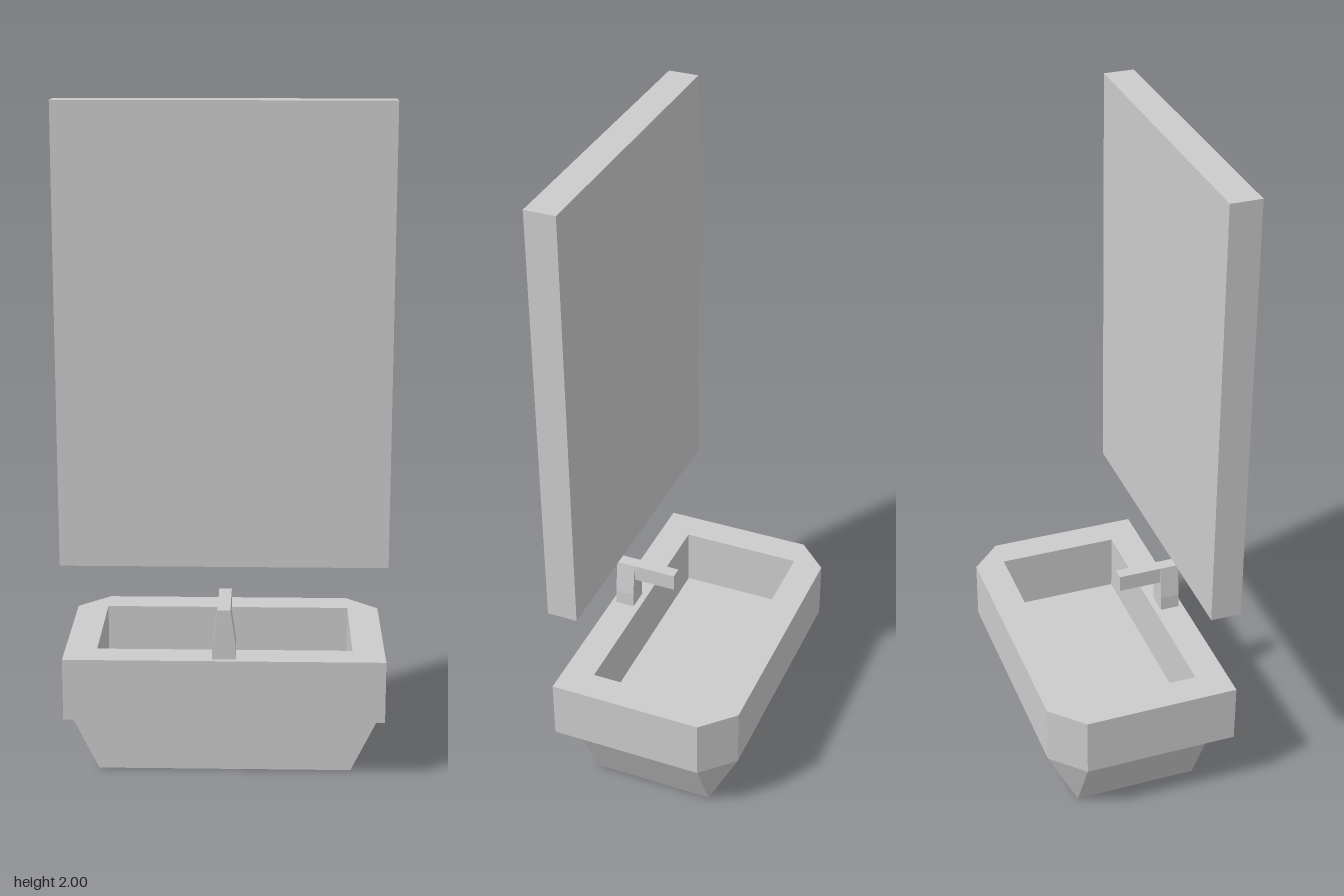
import * as THREE from 'three';
import { ConvexGeometry } from 'three/addons/geometries/ConvexGeometry.js';

const W = 0.475, D = 0.285;   // half width and half depth overall
const IW = 0.38, ID = 0.19;   // half width and half depth of the bowl
const STEP = 0.195, RIM = 0.383;

export function createModel() {
  const group = new THREE.Group();
  const material = new THREE.MeshStandardMaterial({ color: 0xcccccc, flatShading: true });
  const add = (name, geometry, x = 0, y = 0, z = 0) => {
    const mesh = new THREE.Mesh(geometry, material);
    mesh.name = name;
    mesh.position.set(x, y, z);
    group.add(mesh);
    return mesh;
  };
  const outline = (points) => points.map(([x, y]) => new THREE.Vector2(x, y));

  // Mirror slab against the wall
  add('mirror', new THREE.BoxGeometry(2 * W, 2 - 0.673, D - 0.192), 0, (2 + 0.673) / 2, (D + 0.192) / 2);

  // Upper basin ring with two clipped corners and a rectangular bowl (shape y = -z)
  const rim = new THREE.Shape(outline([[-W, -D], [W, -D], [W, ID], [IW, D], [-IW, D], [-W, ID]]));
  rim.holes.push(new THREE.Path(outline([[-IW, -ID], [-IW, ID], [IW, ID], [IW, -ID]])));
  const rimGeometry = new THREE.ExtrudeGeometry(rim, { depth: RIM - STEP, bevelEnabled: false });
  rimGeometry.rotateX(-Math.PI / 2);
  add('basinRim', rimGeometry, 0, STEP, 0);

  // Tapered underside; its top face is the bowl floor
  const corners = [];
  for (const s of [-1, 1]) {
    corners.push(
      new THREE.Vector3(s * IW, 0, ID), new THREE.Vector3(s * IW, 0, -ID),
      new THREE.Vector3(s * W, STEP, ID), new THREE.Vector3(s * W, STEP, -ID),
      new THREE.Vector3(s * IW, STEP, -D));
  }
  add('basinUnderside', new ConvexGeometry(corners));

  // Tap: tapered stem and square spout
  const stem = new THREE.Shape(outline([
    [-0.035, RIM], [0.035, RIM], [0.034, 0.43], [0.019, 0.535], [-0.019, 0.535], [-0.034, 0.43]]));
  add('tapStem', new THREE.ExtrudeGeometry(stem, { depth: 0.06, bevelEnabled: false }), 0, 0, 0.21);
  add('tapSpout', new THREE.BoxGeometry(0.038, 0.054, 0.135), 0, 0.508, 0.1425);

  return group;
}
